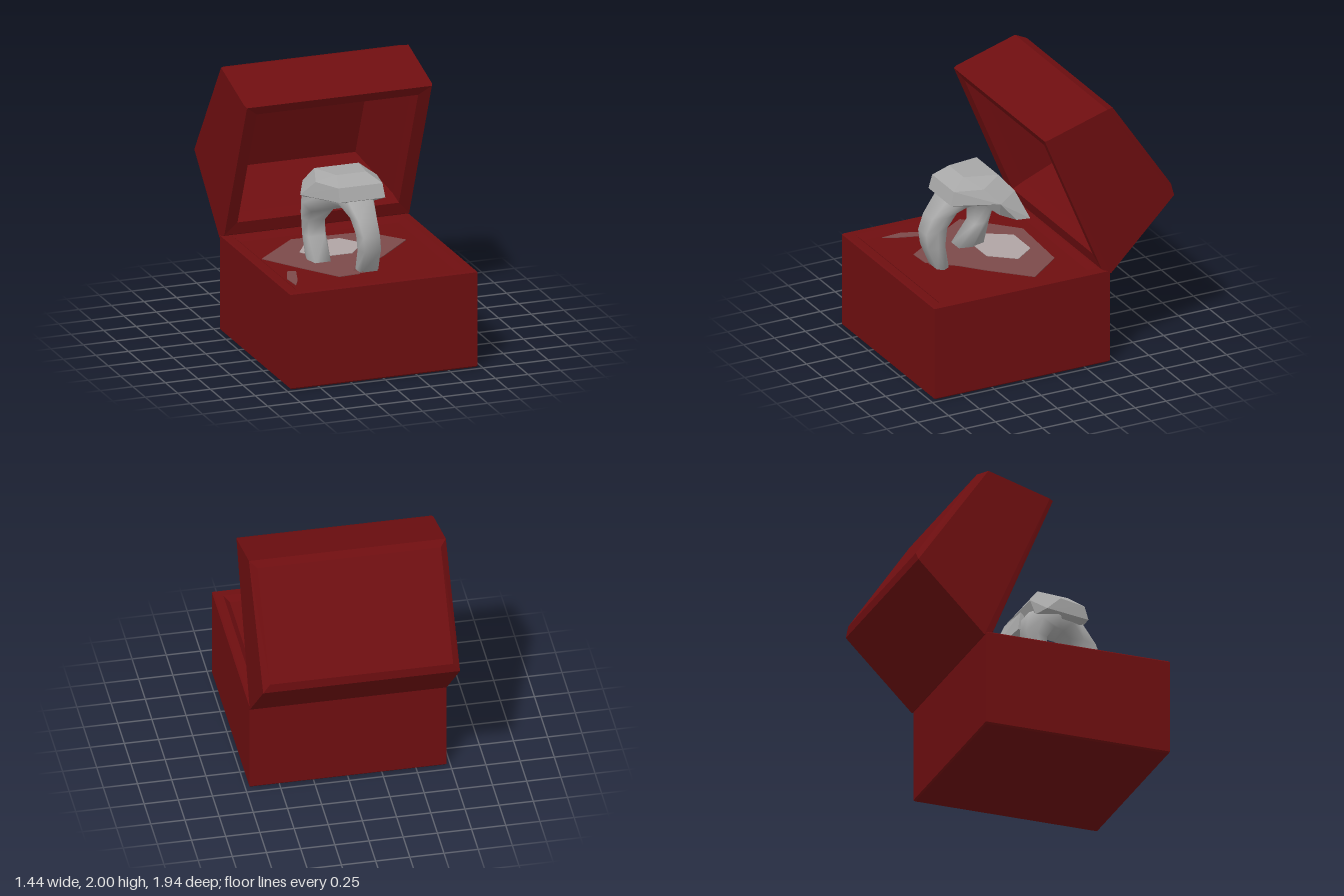
import * as THREE from 'three';
import { ConvexGeometry } from 'three/addons/geometries/ConvexGeometry.js';

const red = new THREE.MeshStandardMaterial({ name: 'deep red', color: 0x6e0e10 });
const silver = new THREE.MeshStandardMaterial({ name: 'silver', color: 0xa8a8a8 });
const dustyPink = new THREE.MeshStandardMaterial({ name: 'dusty pink', color: 0x7c4a4a });
const paleGrey = new THREE.MeshStandardMaterial({ name: 'pale grey', color: 0xb0a4a4 });

// Skins a series of equal-length point loops and caps both ends
function loft(loops, smooth = false) {
  const n = loops[0].length, index = [], last = (loops.length - 1) * n;
  for (let i = 0; i < loops.length - 1; i++) {
    for (let j = 0; j < n; j++) {
      const a = i * n + j, b = i * n + (j + 1) % n;
      index.push(a, b, b + n, a, b + n, a + n);
    }
  }
  for (let j = 1; j < n - 1; j++) {
    index.push(0, j + 1, j, last, last + j, last + j + 1);
  }
  let g = new THREE.BufferGeometry();
  g.setAttribute('position', new THREE.Float32BufferAttribute(loops.flat(2), 3));
  g.setIndex(index);
  if (!smooth) g = g.toNonIndexed();
  g.computeVertexNormals();
  return g;
}

function add(parent, name, geometry, material) {
  const mesh = new THREE.Mesh(geometry, material);
  mesh.name = name;
  parent.add(mesh);
  return mesh;
}

// Horizontal rectangle of the base at height y
const baseLoop = ([y, inset]) => {
  const x = 0.72 - inset, front = 0.97 - inset, back = -0.45 + inset;
  return [[-x, y, front], [x, y, front], [x, y, back], [-x, y, back]];
};

// Lid rectangle: t runs up along the tilted mouth, d goes back into the lid
const lidPoint = (x, t, d) => [x, 0.74 + 0.924 * t + 0.383 * d, -0.39 + 0.383 * t - 0.924 * d];
const lidLoop = ([x, t0, d0, t1, d1]) => [
  lidPoint(-x, t0, d0), lidPoint(x, t0, d0), lidPoint(x, t1, d1), lidPoint(-x, t1, d1),
];

// Six-sided band section between an outer and an inner point
const bandLoop = ([x, w, oz, oy, iz, iy]) => {
  const my = (oy + iy) / 2, mz = (oz + iz) / 2, e = w * 0.7;
  return [[x - e, oy, oz], [x + e, oy, oz], [x + w, my, mz], [x + e, iy, iz], [x - e, iy, iz], [x - w, my, mz]];
};

// Thin flat patch lying on the cushion, outline given as x, z pairs
function patch(parent, name, outline, y, material) {
  const shape = new THREE.Shape(outline.map(([x, z]) => new THREE.Vector2(x, -z)));
  const g = new THREE.ExtrudeGeometry(shape, { depth: 0.006, bevelEnabled: false });
  add(parent, name, g.rotateX(-Math.PI / 2), material).position.y = y;
}

export function createModel() {
  const model = new THREE.Group();
  model.name = 'openRingBox';

  // Base with a raised rim around the cushion
  add(model, 'base', loft([
    [0, 0.012], [0.012, 0], [0.72, 0], [0.73, 0.01], [0.73, 0.07], [0.695, 0.11],
  ].map(baseLoop)), red);

  // Hollow lid, from its back panel round the lip into the cavity
  add(model, 'lid', loft([
    [0.67, 0.277, 0.743, 1.104, 0.577],
    [0.72, 0.212, 0.716, 1.149, 0.52],
    [0.72, -0.064, 0.05, 1.2, 0.03],
    [0.71, 0, 0, 1.2, 0],
    [0.62, 0.1, 0.01, 1.12, 0.01],
    [0.6, 0.12, 0.1, 1.08, 0.1],
    [0.42, 0.24, 0.45, 0.75, 0.45],
  ].map(lidLoop)), red);

  // Worn lighter patches of the cushion
  const cushion = new THREE.Group();
  cushion.name = 'cushionPatches';
  model.add(cushion);
  patch(cushion, 'cushionCentre', [[-0.6, 0.08], [-0.42, 0.36], [-0.22, 0.65], [-0.06, 0.64],
    [0.1, 0.45], [0.25, 0.32], [0.52, 0.05], [0.3, -0.22], [-0.25, -0.25]], 0.694, dustyPink);
  patch(cushion, 'cushionHighlight', [[-0.3, 0.05], [-0.2, 0.2], [0.05, 0.2], [0.2, 0.02],
    [0.08, -0.14], [-0.18, -0.14]], 0.698, paleGrey);
  patch(cushion, 'cushionSpot', [[-0.59, 0.56], [-0.53, 0.41], [-0.47, 0.43], [-0.53, 0.62],
    [-0.58, 0.72]], 0.694, dustyPink);
  const fold = add(cushion, 'cushionFold', new THREE.ConeGeometry(0.06, 0.13, 4), dustyPink);
  fold.position.set(-0.03, 0.755, 0.57);

  // Ring standing upright in the cushion
  const ring = new THREE.Group();
  ring.name = 'ring';
  model.add(ring);
  add(ring, 'band', loft([
    [0.02, 0.09, 0.61, 0.68, 0.52, 0.68],
    [0.02, 0.09, 0.69, 0.87, 0.55, 0.87],
    [0.01, 0.09, 0.70, 0.98, 0.53, 1.0],
    [0, 0.1, 0.65, 1.09, 0.45, 1.1],
    [-0.02, 0.14, 0.5, 1.25, 0.38, 1.13],
    [-0.1, 0.16, 0.3, 1.3, 0.32, 1.1],
    [-0.2, 0.12, 0.05, 1.15, 0.25, 1.07],
    [-0.22, 0.09, 0.03, 1.0, 0.19, 0.98],
    [-0.22, 0.09, 0.07, 0.88, 0.19, 0.86],
    [-0.22, 0.085, 0.12, 0.68, 0.33, 0.68],
  ].map(bandLoop), true), silver);

  // Faceted head of the ring
  add(ring, 'stone', new ConvexGeometry([
    [-0.18, 1.32, 0.52], [0.16, 1.32, 0.52], [-0.15, 1.38, 0.4], [0.08, 1.38, 0.4],
    [-0.22, 1.36, 0.14], [0.12, 1.36, 0.14], [0.2, 1.31, 0.3], [-0.27, 1.31, 0.3],
    [-0.34, 1.18, 0.17], [0.27, 1.2, 0.2], [-0.18, 1.22, 0.55], [0.17, 1.22, 0.55],
    [-0.28, 1.25, 0.06], [0.2, 1.25, 0.05], [-0.29, 1.14, 0.1], [0.05, 1.13, 0.38],
  ].map((p) => new THREE.Vector3(...p))), silver);

  // Pointed setting that flares out behind the stone
  add(ring, 'setting', new ConvexGeometry([
    [0.29, 1.05, -0.03], [0.29, 1.06, 0.08], [0.18, 1.07, 0.16], [0.27, 1.2, 0.2],
    [0.2, 1.25, 0.05], [-0.12, 1.22, 0.05], [-0.15, 1.07, 0.02], [-0.1, 1.09, 0.22],
  ].map((p) => new THREE.Vector3(...p))), silver);

  return model;
}
